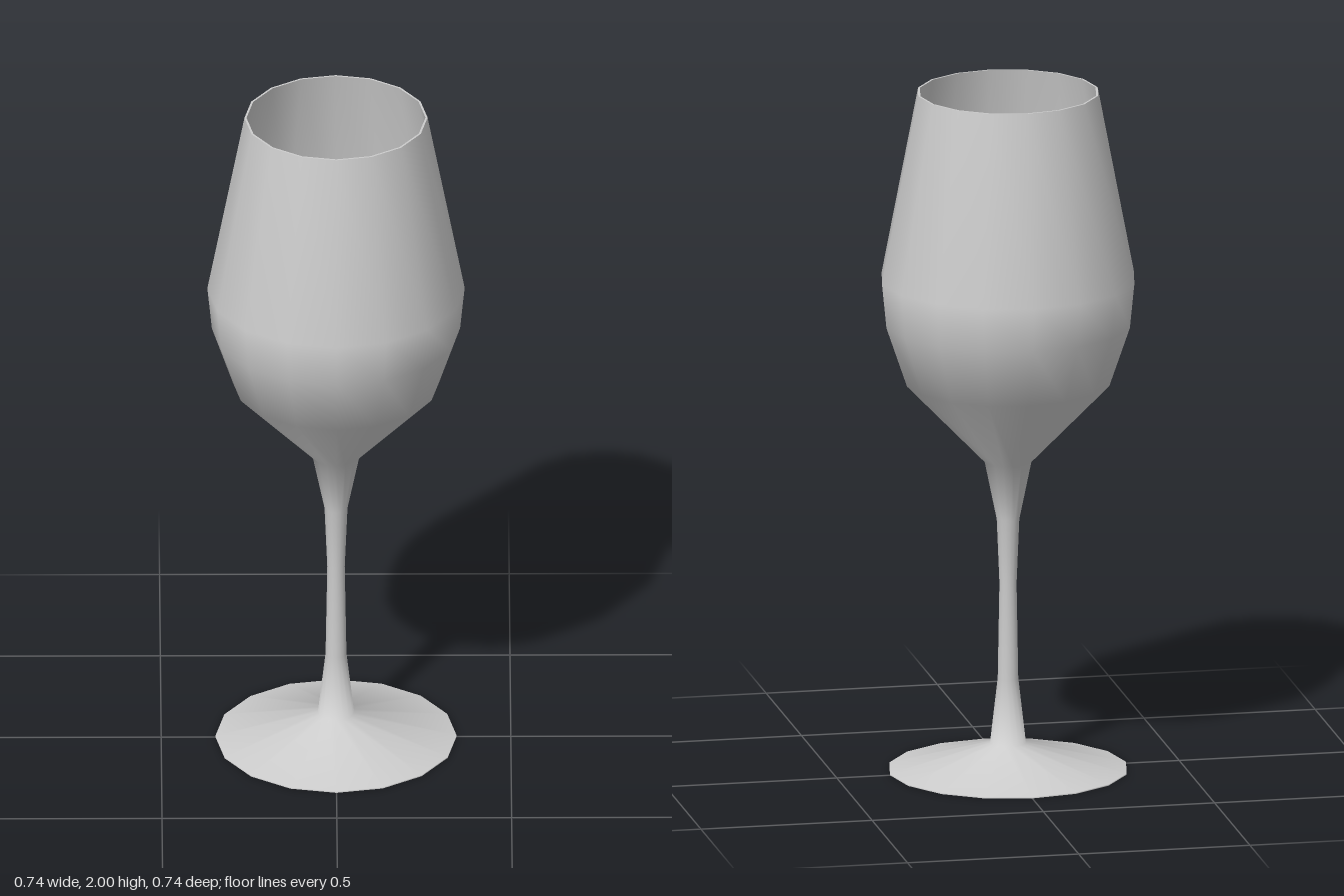
import * as THREE from 'three';

const SIDES = 16;
const material = new THREE.MeshStandardMaterial({ color: 0xcccccc });

// Revolve a [radius, height] profile; going up faces outward, going down faces inward
function turned(name, profile) {
  const points = profile.map(([r, y]) => new THREE.Vector2(r, y));
  const mesh = new THREE.Mesh(new THREE.LatheGeometry(points, SIDES), material);
  mesh.name = name;
  return mesh;
}

export function createModel() {
  const group = new THREE.Group();
  group.name = 'wineGlass';

  // Flat underside of the foot
  group.add(turned('footUnderside', [[0, 0], [0.345, 0]]));

  // Foot, stem and outside of the bowl as one smooth skin
  group.add(turned('footStemAndBowl', [
    [0.345, 0], [0.345, 0.004],
    [0.052, 0.08], [0.03, 0.27], [0.025, 0.55], [0.033, 0.74], [0.068, 0.91],
    [0.295, 1.145], [0.355, 1.32], [0.368, 1.45], [0.262, 2],
  ]));

  // Narrow flat lip
  group.add(turned('rim', [[0.262, 2], [0.256, 2]]));

  // Inside of the bowl
  group.add(turned('bowlInterior', [
    [0.256, 2], [0.361, 1.45], [0.348, 1.325], [0.288, 1.152], [0.06, 0.925], [0, 0.915],
  ]));

  return group;
}
